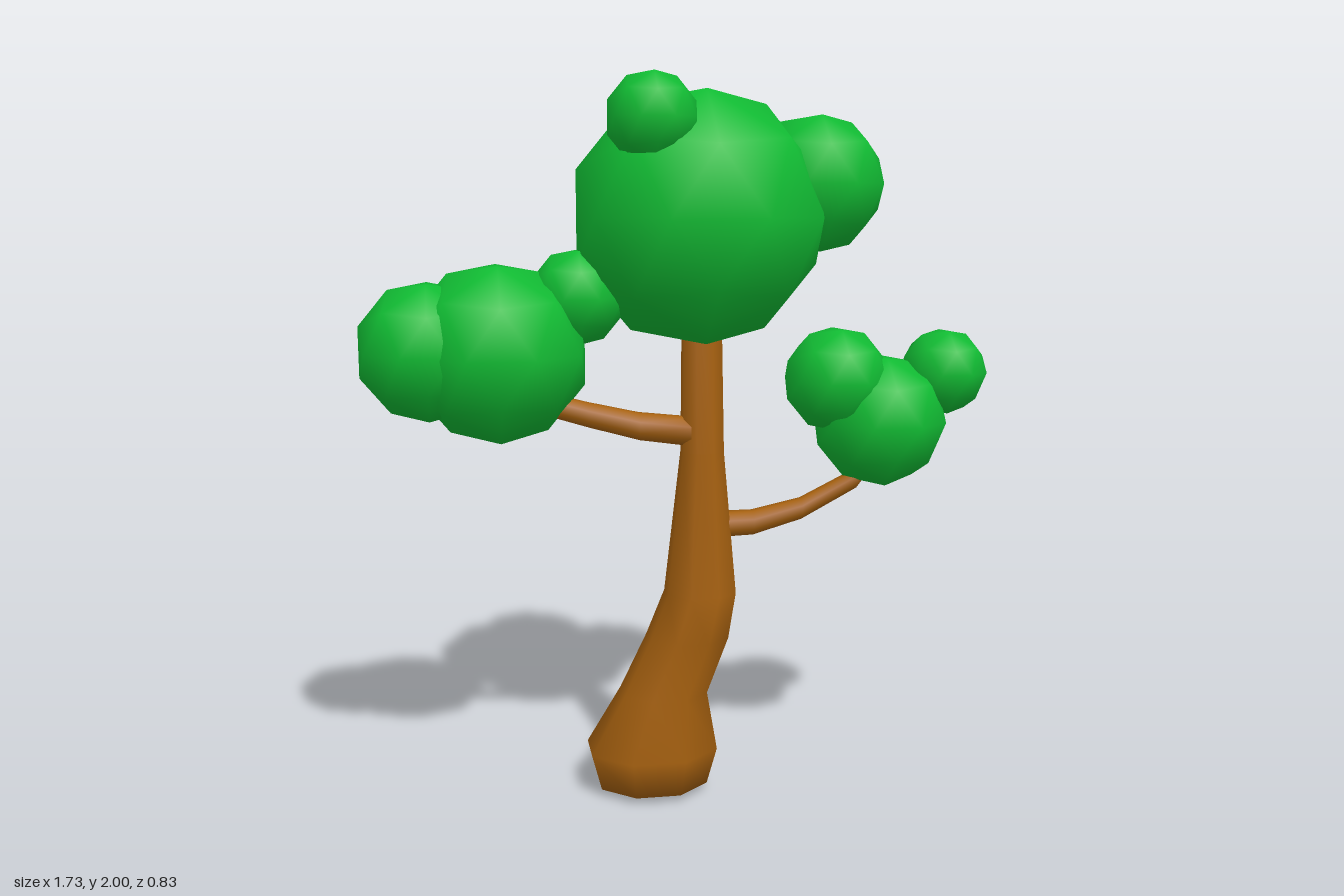
import * as THREE from 'three';
import { ConvexGeometry } from 'three/addons/geometries/ConvexGeometry.js';

const bark = new THREE.MeshStandardMaterial({ color: 0xa5600f });
const leaf = new THREE.MeshStandardMaterial({ color: 0x11bb33 });

// Closed skin over rings [x, y, z, ru, rv]; u and v span each ring, u x v points along the limb
function loft(rings, u, v, sides) {
  const pos = [], index = [];
  const first = rings[0], last = rings[rings.length - 1];
  for (const [x, y, z, ru, rv] of rings) {
    for (let i = 0; i < sides; i++) {
      const a = ((i + 0.5) / sides) * Math.PI * 2;
      const p = new THREE.Vector3(x, y, z)
        .addScaledVector(u, ru * Math.cos(a))
        .addScaledVector(v, rv * Math.sin(a));
      pos.push(p.x, p.y, p.z);
    }
  }
  const start = rings.length * sides, end = start + 1, top = (rings.length - 1) * sides;
  const d = new THREE.Vector3().crossVectors(u, v).multiplyScalar(0.02);
  pos.push(first[0] - d.x, first[1] - d.y, first[2] - d.z);
  pos.push(last[0] + d.x, last[1] + d.y, last[2] + d.z);
  for (let i = 0; i < sides; i++) {
    const n = (i + 1) % sides;
    for (let r = 0; r < top; r += sides) {
      index.push(r + i, r + n, r + sides + i, r + n, r + sides + n, r + sides + i);
    }
    index.push(start, n, i, end, top + i, top + n);
  }
  const g = new THREE.BufferGeometry();
  g.setAttribute('position', new THREE.Float32BufferAttribute(pos, 3));
  g.setIndex(index);
  g.computeVertexNormals();
  return g;
}

// Sixty-sided ball: corners of a dodecahedron plus its raised face centres, smooth shaded
function leafBall() {
  const phi = (1 + Math.sqrt(5)) / 2, points = [];
  const add = (x, y, z) => points.push(new THREE.Vector3(x, y, z).normalize());
  for (const a of [-1, 1]) {
    for (const b of [-1, 1]) {
      add(0, a * phi, b / phi);
      add(a * phi, b / phi, 0);
      add(b / phi, 0, a * phi);
      add(a, b * phi, 0);
      add(0, a, b * phi);
      add(b * phi, 0, a);
      for (const c of [-1, 1]) add(a, b, c);
    }
  }
  const g = new ConvexGeometry(points);
  const p = g.attributes.position, n = g.attributes.normal;
  for (let i = 0; i < p.count; i++) n.setXYZ(i, p.getX(i), p.getY(i), p.getZ(i));
  return g;
}

export function createModel() {
  const tree = new THREE.Group();
  tree.name = 'tree';
  const X = new THREE.Vector3(1, 0, 0), Y = new THREE.Vector3(0, 1, 0), Z = new THREE.Vector3(0, 0, 1);

  const addMesh = (name, geometry, material) => {
    const mesh = new THREE.Mesh(geometry, material);
    mesh.name = name;
    tree.add(mesh);
    return mesh;
  };

  // Leaning trunk: rings are x, y, z, depth radius, width radius
  addMesh('trunk', loft([
    [-0.08, 0.025, 0.03, 0.142, 0.165],
    [-0.08, 0.13, 0.03, 0.163, 0.195],
    [-0.047, 0.3, 0.042, 0.124, 0.128],
    [0.015, 0.47, 0.08, 0.106, 0.12],
    [0.05, 0.6, 0.087, 0.093, 0.104],
    [0.057, 1.0, 0.078, 0.059, 0.062],
    [0.054, 1.4, 0.08, 0.054, 0.056],
  ], Z, X, 8), bark);

  // Branches
  const limb = (list) => list.map(([x, y, r]) => [x, y, 0.08, r, r]);
  addMesh('leftBranch', loft(limb([
    [0.06, 0.79, 0.038], [0.2, 0.793, 0.036], [0.34, 0.828, 0.031], [0.5, 0.91, 0.028], [0.57, 1.0, 0.026],
  ]), Y, Z, 8), bark);
  addMesh('rightBranch', loft(limb([
    [0.04, 1.055, 0.043], [-0.12, 1.075, 0.04], [-0.26, 1.11, 0.036], [-0.4, 1.15, 0.033], [-0.46, 1.2, 0.03],
  ]), Z, Y, 8), bark);

  // Foliage balls: name, x, y, z, half extent
  const ball = leafBall();
  const foliage = [
    ['crown', 0.042, 1.64, 0.09, 0.329],
    ['crownLeftPuff', 0.365, 1.73, 0.085, 0.18],
    ['crownTopPuff', -0.108, 1.89, 0.26, 0.114],
    ['crownBackPuff', 0.045, 1.61, -0.232, 0.18],
    ['rightCluster', -0.5, 1.283, 0.08, 0.233],
    ['rightOuterPuff', -0.685, 1.29, 0.08, 0.18],
    ['rightInnerPuff', -0.285, 1.43, 0.08, 0.124],
    ['leftCluster', 0.565, 1.077, 0.08, 0.178],
    ['leftInnerPuff', 0.435, 1.195, 0.09, 0.14],
    ['leftOuterPuff', 0.75, 1.21, 0.08, 0.115],
  ];
  for (const [name, x, y, z, half] of foliage) {
    const mesh = addMesh(name, ball, leaf);
    mesh.position.set(x, y, z);
    mesh.scale.setScalar(half / 0.934);
  }
  return tree;
}
